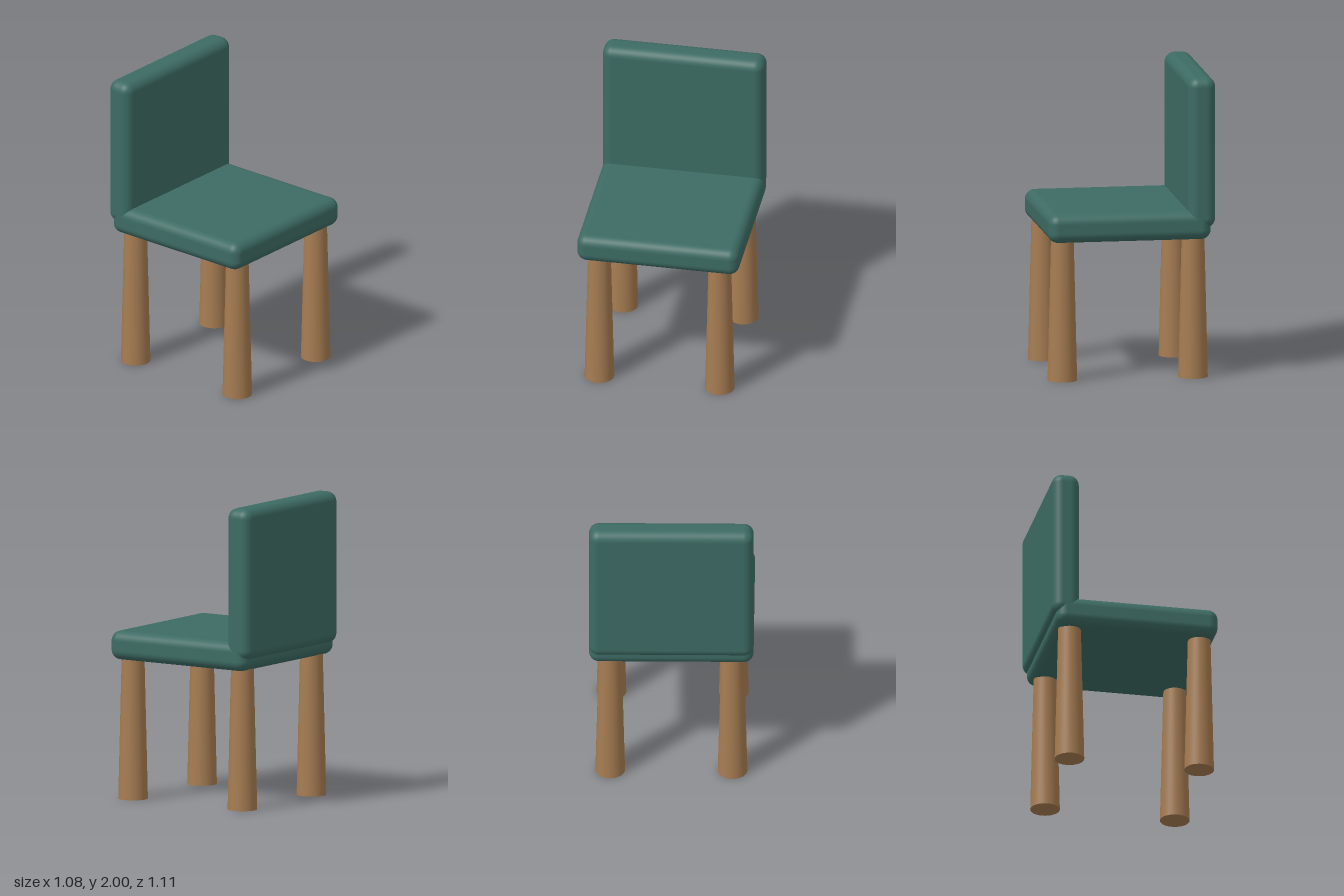
import * as THREE from 'three';
import { RoundedBoxGeometry } from 'three/addons/geometries/RoundedBoxGeometry.js';

export function createModel() {
  const model = new THREE.Group();
  model.name = 'chair';
  const fabric = new THREE.MeshStandardMaterial({ color: 0x3d6b64 });
  const wood = new THREE.MeshStandardMaterial({ color: 0xa67c52 });

  const add = (name, geometry, material, x, y, z) => {
    const mesh = new THREE.Mesh(geometry, material);
    mesh.name = name;
    mesh.position.set(x, y, z);
    model.add(mesh);
  };

  // Padded seat, and a backrest sunk into its rear edge
  add('seat', new RoundedBoxGeometry(1.076, 0.19, 1.076, 6, 0.065), fabric, 0, 1.02, 0.015);
  add('backrest', new RoundedBoxGeometry(1.076, 1, 0.18, 6, 0.065), fabric, 0, 1.5, -0.462);

  // Four tapered round legs, tops hidden inside the seat
  const legHeight = 0.96;
  const leg = new THREE.CylinderGeometry(0.074, 0.097, legHeight, 32);
  for (const [end, z] of [['front', 0.447], ['rear', -0.418]]) {
    for (const [side, x] of [['Left', 0.4], ['Right', -0.4]]) {
      add(`${end}${side}Leg`, leg, wood, x, legHeight / 2, z);
    }
  }
  return model;
}
